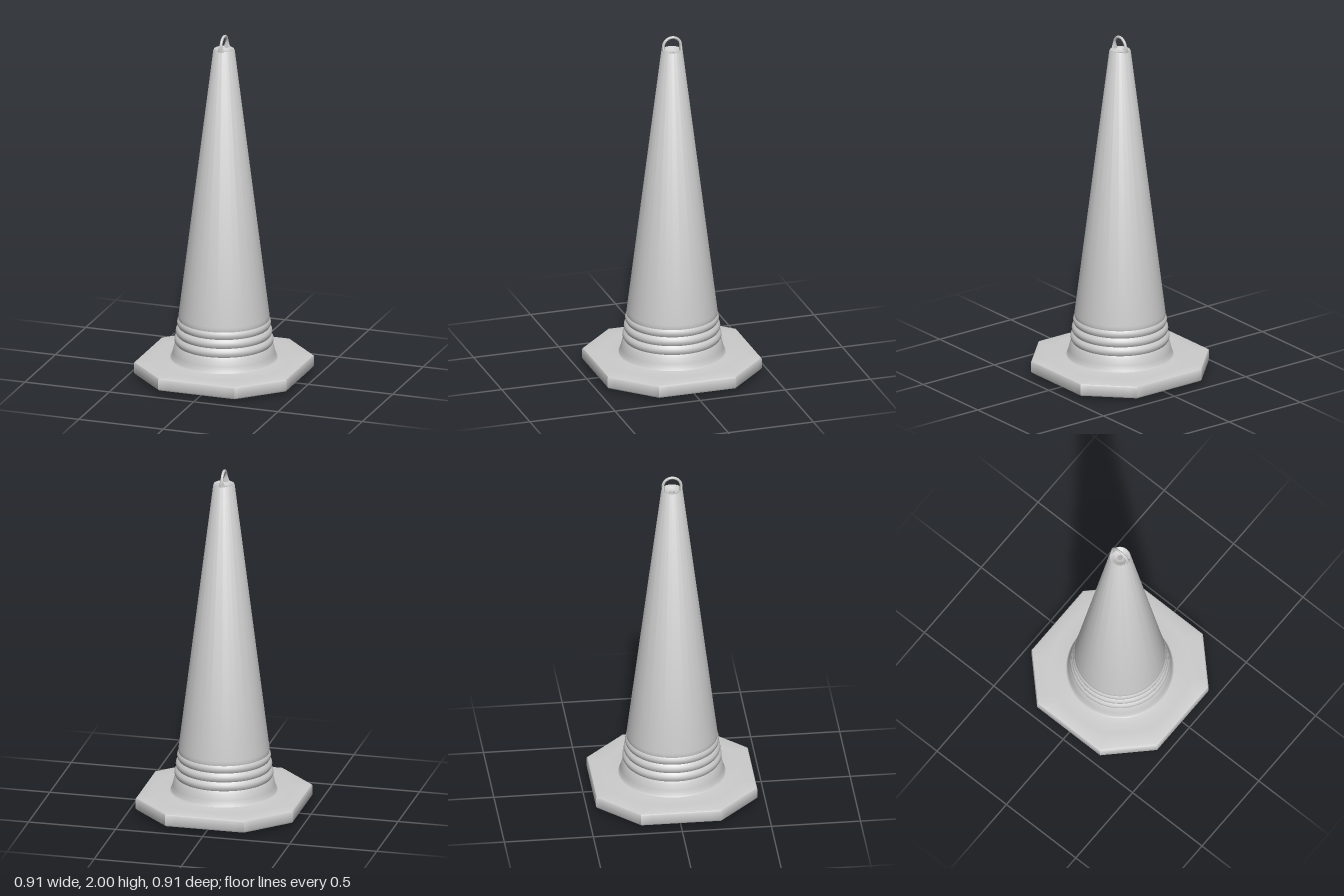
import * as THREE from 'three';
import { toCreasedNormals } from 'three/addons/utils/BufferGeometryUtils.js';

const material = new THREE.MeshStandardMaterial({ color: 0xcccccc, side: THREE.DoubleSide });

function addPart(group, name, geometry, crease) {
  const mesh = new THREE.Mesh(toCreasedNormals(geometry, crease), material);
  mesh.name = name;
  group.add(mesh);
}

// Outline of the chamfered square, with each side subdivided
function octagonOutline(half, cut, steps) {
  const corners = [[half, -cut], [half, cut], [cut, half], [-cut, half],
    [-half, cut], [-half, -cut], [-cut, -half], [cut, -half]].map(c => new THREE.Vector2(...c));
  const points = [];
  corners.forEach((c, i) => {
    for (let s = 0; s < steps; s++) points.push(c.clone().lerp(corners[(i + 1) % 8], s / steps));
  });
  return points;
}

// Loft of rings [radius, y, roundness]; roundness 0 = octagon, 1 = circle
function loft(rings, outline, half) {
  const positions = [], index = [], n = outline.length;
  rings.forEach(([r, y, round], k) => {
    outline.forEach((p, i) => {
      const q = p.clone().multiplyScalar(r / half).lerp(p.clone().setLength(r), round);
      positions.push(q.x, y, q.y);
      if (k === 0) return;
      const j = (i + 1) % n, a = (k - 1) * n, b = k * n;
      index.push(a + i, a + j, b + i, a + j, b + j, b + i);
    });
  });
  const geometry = new THREE.BufferGeometry();
  geometry.setAttribute('position', new THREE.Float32BufferAttribute(positions, 3));
  geometry.setIndex(index);
  return geometry;
}

export function createModel() {
  const group = new THREE.Group();
  group.name = 'trafficCone';

  // Octagonal foot with a round raised pad underneath
  const half = 0.453;
  const foot = loft([
    [0.29, 0, 1], [0.325, 0, 1], [0.345, 0.018, 1], [0.43, 0.02, 0], [0.447, 0.024, 0],
    [half, 0.034, 0], [half, 0.086, 0], [0.449, 0.093, 0], [0.435, 0.097, 0],
    [0.38, 0.099, 0.7], [0.33, 0.1, 1], [0.298, 0.105, 1],
  ], octagonOutline(half, 0.227, 8), half);
  addPart(group, 'base', foot, 0.6);

  // Hollow cone: inner wall, dished open tip, outer wall with rounded ribs, flared root
  const profile = [
    [0.31, 0.1], [0.3, 0.104], [0.293, 0.115], [0.286, 0.14], [0.278, 0.175],
  ];
  for (let i = 0; i < 3; i++) {
    const y = 0.19 + i * 0.05;
    const r = 0.274 - i * 0.0075;
    profile.push([r - 0.005, y], [r + 0.001, y + 0.01], [r + 0.003, y + 0.022],
      [r + 0.001, y + 0.034], [r - 0.006, y + 0.043]);
  }
  profile.push([0.255, 0.345], [0.253, 0.36], [0.06, 1.913], [0.056, 1.919], [0.05, 1.918],
    [0.038, 1.908], [0.026, 1.902], [0.015, 1.9], [0.014, 1.885], [0.042, 1.87],
    [0.238, 0.35], [0.265, 0.16], [0.282, 0.08], [0.29, 0]);
  const cone = new THREE.LatheGeometry(profile.map(p => new THREE.Vector2(...p)), 64);
  addPart(group, 'coneBody', cone, 0.8);

  // Lifting loop on the tip, its legs widening sideways into the cone
  const path = [[-0.05, 1.905], [-0.051, 1.925]];
  for (let i = 0; i <= 12; i++) {
    const a = Math.PI * (1 - i / 12);
    path.push([0.051 * Math.cos(a), 1.941 + 0.051 * Math.sin(a)]);
  }
  path.push([0.051, 1.925], [0.05, 1.905]);
  const curve = new THREE.CatmullRomCurve3(path.map(([z, y]) => new THREE.Vector3(0, y, z)));
  const loop = new THREE.TubeGeometry(curve, 48, 0.008, 12, false);
  const pos = loop.attributes.position;
  for (let i = 0; i < pos.count; i++) {
    const t = THREE.MathUtils.clamp((1.965 - pos.getY(i)) / 0.05, 0, 1);
    pos.setX(i, pos.getX(i) * (1 + 1.8 * t * t));
  }
  addPart(group, 'liftingLoop', loop, 1);

  return group;
}
